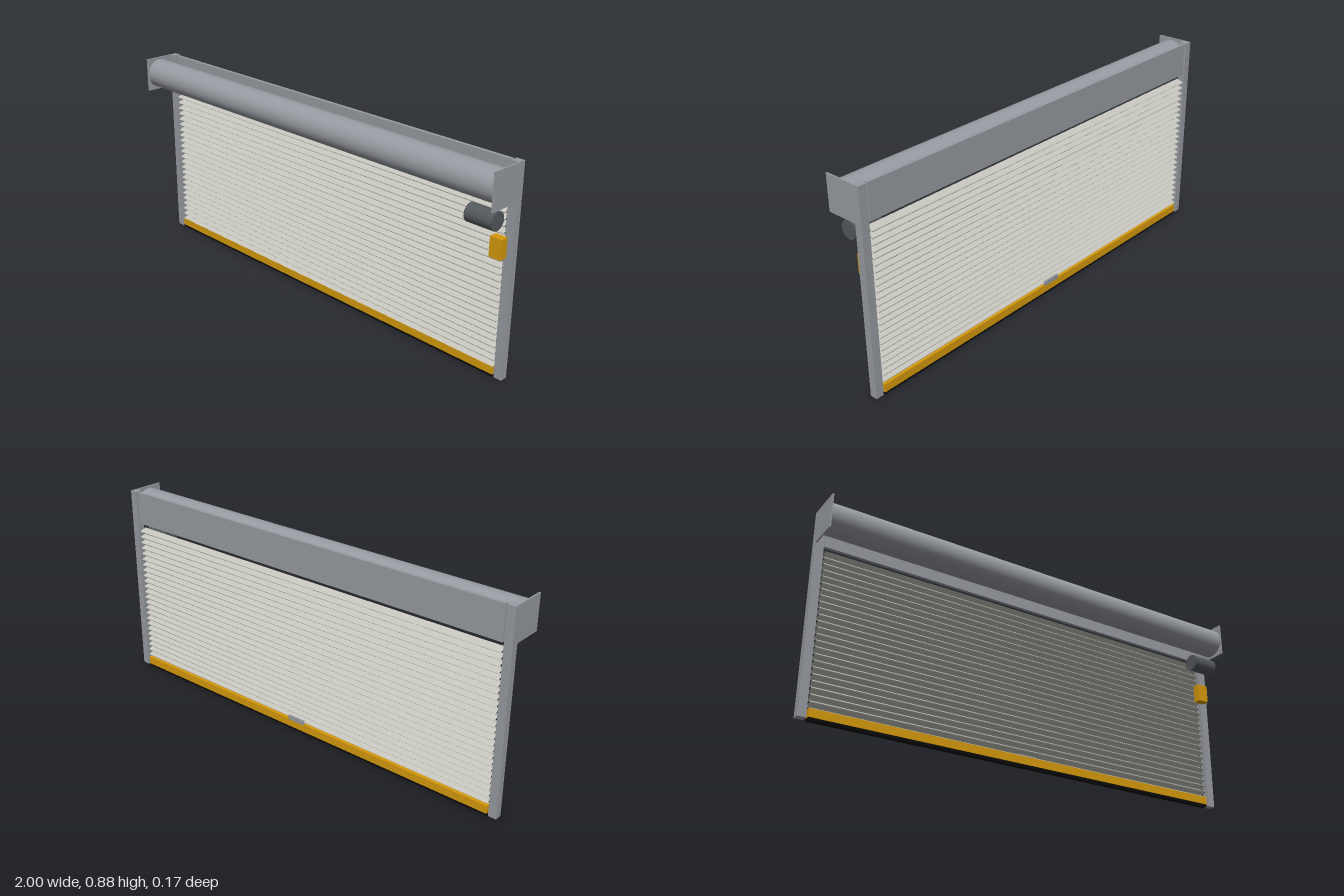
import * as THREE from 'three';

const material = (name, color, side = THREE.FrontSide) => {
  const m = new THREE.MeshStandardMaterial({ color, side });
  m.name = name;
  return m;
};

export function createModel() {
  const steel = material('galvanised steel', 0x979ca2);
  const slat = material('slat grey', 0xc6c6be, THREE.DoubleSide);
  const yellow = material('safety yellow', 0xd69a0c);
  const dark = material('motor grey', 0x54595d);
  const rubber = material('black rubber', 0x0c0c0c);

  const model = new THREE.Group();
  model.name = 'rollerShutter';

  const add = (name, geometry, mat) => {
    const mesh = new THREE.Mesh(geometry, mat);
    mesh.name = name;
    model.add(mesh);
    return mesh;
  };
  // Box given by its extents on each axis
  const box = (name, mat, [x0, x1], [y0, y1], [z0, z1]) => {
    const mesh = add(name, new THREE.BoxGeometry(x1 - x0, y1 - y0, z1 - z0), mat);
    mesh.position.set((x0 + x1) / 2, (y0 + y1) / 2, (z0 + z1) / 2);
    return mesh;
  };
  // Cylinder lying along x
  const barrel = (name, mat, radius, [x0, x1], y, z) => {
    const geometry = new THREE.CylinderGeometry(radius, radius, x1 - x0, 48);
    geometry.rotateZ(Math.PI / 2);
    add(name, geometry, mat).position.set((x0 + x1) / 2, y, z);
  };

  const half = 0.957;
  const span = [-half, half];

  // Guide rails and end plates, mirrored
  for (const [side, s] of [['left', 1], ['right', -1]]) {
    const range = (a, b) => (s > 0 ? [a, b] : [-b, -a]);
    box(side + 'GuideRail', steel, range(0.965, 1), [0.004, 0.878], [-0.08, -0.048]);
    box(side + 'EndPlate', steel, range(0.994, 1), [0.728, 0.878], [-0.048, 0.087]);
  }

  // Header board and rolled-up barrel
  box('header', steel, span, [0.728, 0.876], [-0.075, -0.06]);
  barrel('rollBarrel', steel, 0.065, [-0.994, 0.994], 0.803, 0.02);

  // Corrugated curtain: a sheet pushed into a wave, one period per slat
  const slats = 24, bottom = 0.044, top = 0.703, height = top - bottom;
  const sheet = new THREE.PlaneGeometry(2 * half, height, 1, slats * 10);
  const p = sheet.attributes.position;
  for (let i = 0; i < p.count; i++) {
    const t = p.getY(i) / height + 0.5;
    p.setZ(i, 0.0155 * Math.cos(t * slats * Math.PI * 2));
  }
  sheet.computeVertexNormals();
  add('slatCurtain', sheet, slat).position.set(0, (top + bottom) / 2, -0.065);

  // Bottom bar, rubber seal and lift handle on the back
  box('bottomBar', yellow, span, [0.01, 0.045], [-0.08, -0.05]);
  box('bottomSeal', rubber, span, [0, 0.01], [-0.079, -0.051]);
  box('liftHandle', steel, [-0.043, 0.043], [0.045, 0.064], [-0.084, -0.075]);

  // Drive motor and control box on the left rail
  barrel('motor', dark, 0.037, [0.856, 0.977], 0.67, 0.02);
  box('controlBox', yellow, [0.925, 0.977], [0.506, 0.588], [-0.048, -0.014]);

  return model;
}
